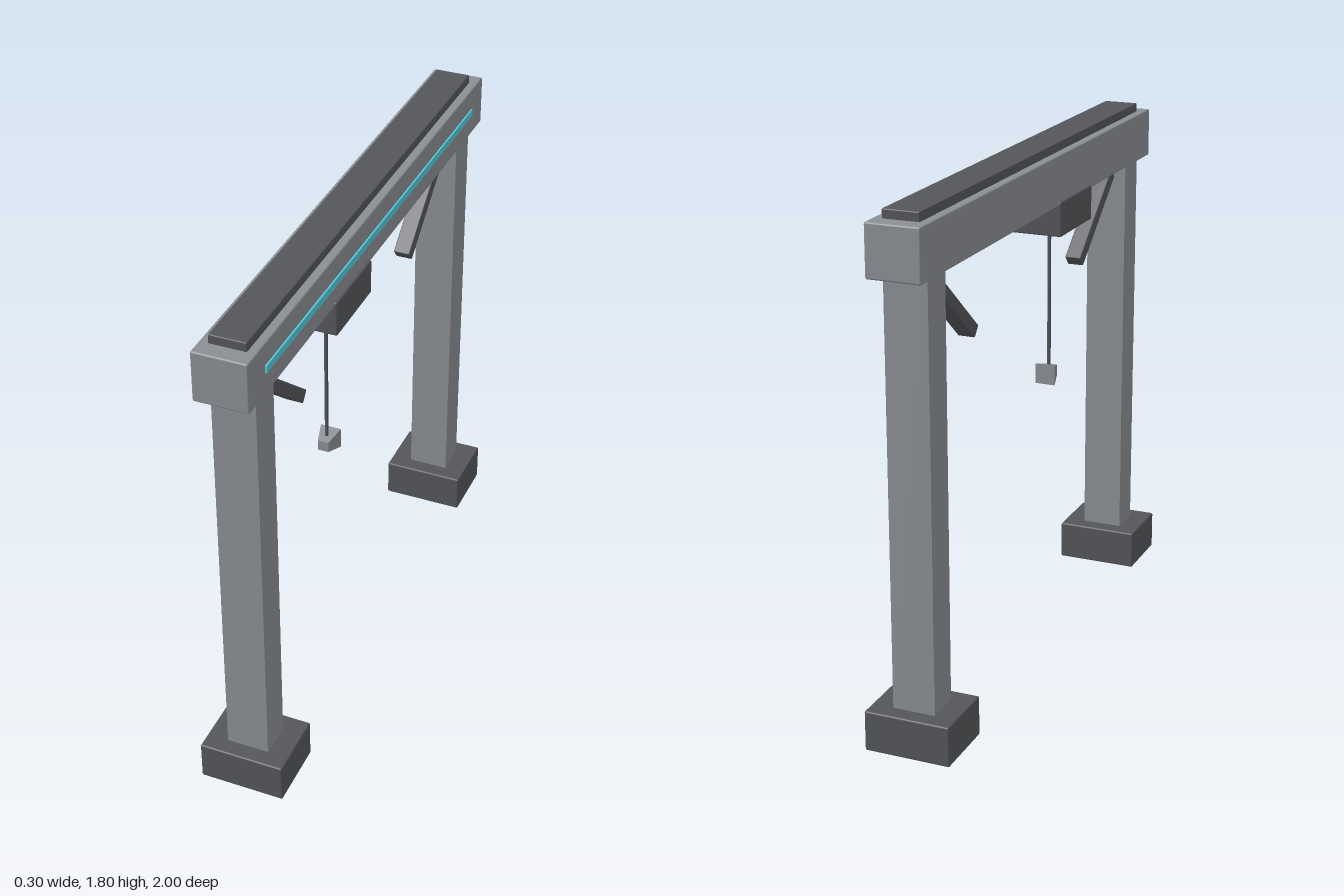
import * as THREE from 'three';
import { RoundedBoxGeometry } from 'three/addons/geometries/RoundedBoxGeometry.js';

export function createModel() {
  const model = new THREE.Group();
  model.name = 'gantryCrane';
  const steel = new THREE.MeshStandardMaterial({ color: 0x8b8f94 });
  const dark = new THREE.MeshStandardMaterial({ color: 0x55565a });
  const cyan = new THREE.MeshStandardMaterial({ color: 0x55ccdb });
  const facetedSteel = steel.clone();
  facetedSteel.flatShading = true;

  function add(name, geometry, material, x, y, z) {
    const mesh = new THREE.Mesh(geometry, material);
    mesh.name = name;
    mesh.position.set(x, y, z);
    model.add(mesh);
    return mesh;
  }
  const softBox = (w, h, d, r = 0.006) => new RoundedBoxGeometry(w, h, d, 2, r);

  // Overhead beam, top rail and light strip on the +x side
  add('beam', softBox(0.185, 0.175, 2), steel, 0, 1.682, 0);
  add('topRail', softBox(0.125, 0.04, 1.88, 0.004), dark, 0, 1.78, 0);
  add('lightStrip', new THREE.BoxGeometry(0.014, 0.026, 1.77), cyan, 0.091, 1.683, 0);

  // Post, foot and diagonal brace at each end
  for (const [side, s] of [['front', 1], ['back', -1]]) {
    add(side + 'Post', new THREE.BoxGeometry(0.148, 1.6, 0.124), steel, 0, 0.8, s * 0.855);
    add(side + 'Foot', softBox(0.3, 0.141, 0.241), dark, 0, 0.0725, s * 0.855);

    // The brace drops from the top of the post towards the middle
    const angle = 0.695, length = 0.48;
    const brace = add(side + 'Brace', softBox(0.06, 0.045, length, 0.004), dark, 0,
      1.298 + Math.sin(angle) * length / 2, s * (0.466 + Math.cos(angle) * length / 2));
    brace.rotation.x = -s * angle;
  }

  // Trolley with its cable and hanging hook block
  const trolleyZ = 0.226;
  add('trolley', softBox(0.204, 0.122, 0.29), dark, 0, 1.548, trolleyZ);
  add('cable', new THREE.CylinderGeometry(0.0065, 0.0065, 0.55, 12), dark, 0, 1.235, trolleyZ);

  // Square block tapering towards +z
  const block = new THREE.CylinderGeometry(0.027, 0.052, 0.068, 4);
  block.rotateY(Math.PI / 4).rotateX(Math.PI / 2);
  add('hookBlock', block, facetedSteel, 0, 0.949, trolleyZ - 0.002);

  return model;
}
